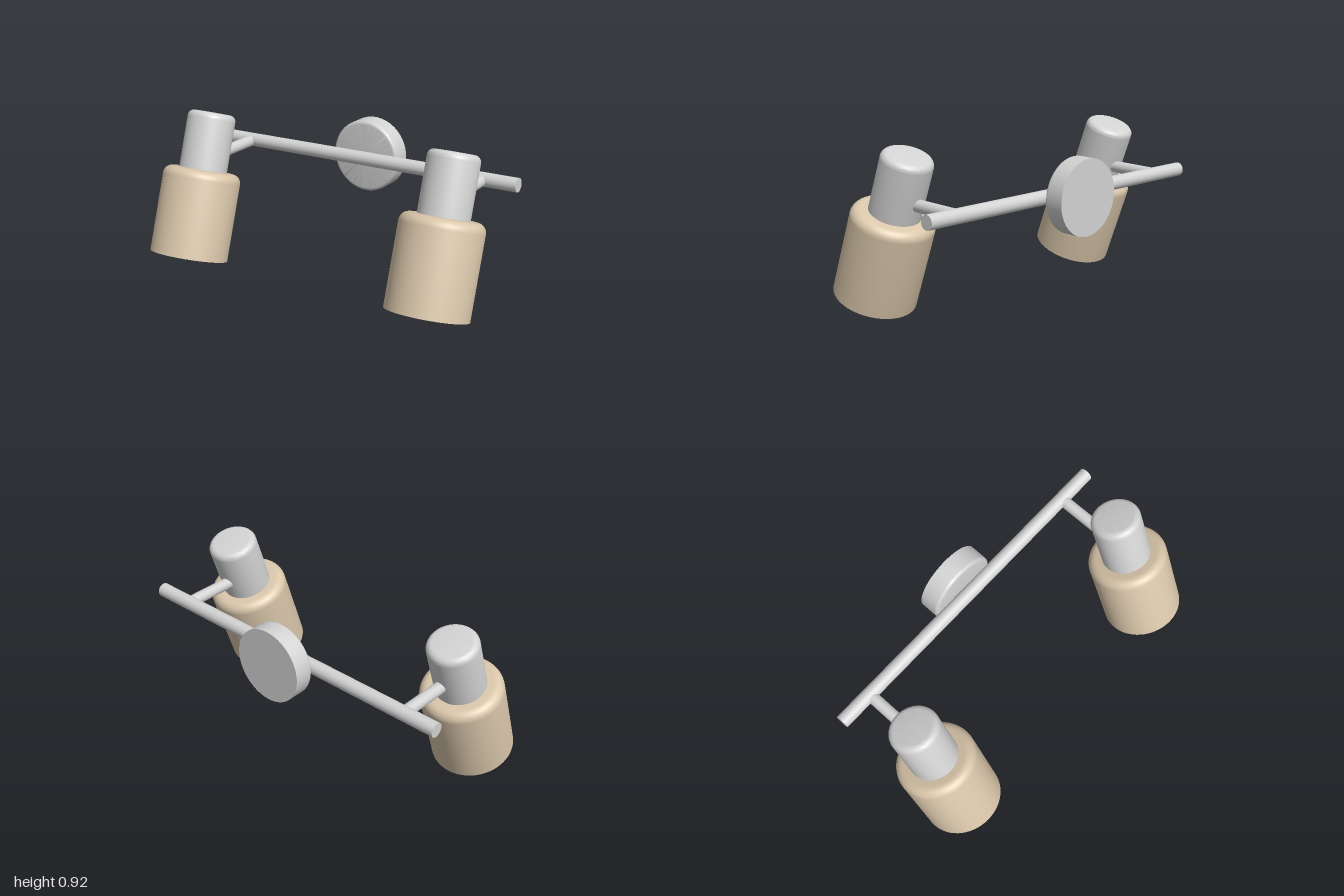
import * as THREE from 'three';
import { toCreasedNormals } from 'three/addons/utils/BufferGeometryUtils.js';

const metal = new THREE.MeshStandardMaterial({ color: 0xd3d3d3 });
metal.name = 'brushed metal grey';
const tan = new THREE.MeshStandardMaterial({ color: 0xdac7ab });
tan.name = 'warm tan';

const TILT = 0.342; // lean of the spots
const ROLL = 0.0196; // slight roll of the whole fitting
const PIVOT_Y = 0.625;

// Quarter-circle profile from the side wall onto the flat top
function roundedCorner(radius, top, r, steps = 8) {
  return Array.from({ length: steps + 1 }, (_, i) => {
    const a = (i / steps) * Math.PI / 2;
    return [radius - r + r * Math.cos(a), top - r + r * Math.sin(a)];
  });
}

function lathe(name, points, material) {
  const profile = points.map(([x, y]) => new THREE.Vector2(Math.max(x, 0), y));
  const geometry = toCreasedNormals(new THREE.LatheGeometry(profile, 64), 0.5);
  const mesh = new THREE.Mesh(geometry, material);
  mesh.name = name;
  return mesh;
}

function rod(name, radius, length, axis) {
  const mesh = new THREE.Mesh(new THREE.CylinderGeometry(radius, radius, length, 32), metal);
  mesh.name = name;
  if (axis === 'x') mesh.rotation.z = Math.PI / 2;
  else mesh.rotation.x = Math.PI / 2;
  return mesh;
}

// One spot, built upright with the shade rim at y = 0
function createSpot(name) {
  const spot = new THREE.Group();
  spot.name = name;

  // Hollow shade: inner wall up, inner top, then the outer shell
  const inner = roundedCorner(0.201, 0.48, 0.035);
  const outer = roundedCorner(0.222, 0.5, 0.052);
  spot.add(lathe('shade', [
    [0, 0.5], ...outer.reverse(), [0.222, 0], [0.201, 0], ...inner, [0, 0.48],
  ].reverse(), tan));

  // Lamp holder above the shade
  spot.add(lathe('lampHolder', [
    [0, 0.46], [0.137, 0.46], ...roundedCorner(0.137, 0.83, 0.036), [0, 0.83],
  ], metal));

  // Bulb with a tapered neck
  const bulb = [];
  for (let i = 0; i <= 18; i++) {
    const a = -Math.PI / 2 + (i / 18) * Math.PI * 0.75;
    bulb.push([0.11 * Math.cos(a), 0.146 + 0.11 * Math.sin(a)]);
  }
  spot.add(lathe('bulb', [...bulb, [0.055, 0.3], [0.05, 0.48]], metal));
  return spot;
}

export function createModel() {
  const model = new THREE.Group();
  model.name = 'twinSpotlight';
  const fitting = new THREE.Group();
  fitting.name = 'fitting';
  fitting.position.y = PIVOT_Y;
  fitting.rotation.z = ROLL;
  model.add(fitting);

  // Round wall plate, its softened edge facing forward
  const plate = lathe('wallPlate', [
    [0, 0], [0.206, 0], ...roundedCorner(0.206, 0.115, 0.018), [0, 0.115],
  ], metal);
  plate.rotation.x = Math.PI / 2;
  plate.position.set(-0.006, 0, -0.498);
  fitting.add(plate);

  // Crossbar
  const bar = rod('crossbar', 0.039, 1.935, 'x');
  bar.position.set(-0.006, 0.001, -0.343);
  fitting.add(bar);

  // Arms and spots
  for (const [side, sign] of [['left', 1], ['right', -1]]) {
    const arm = rod(side + 'Arm', 0.033, 0.34, 'z');
    arm.position.set(-0.008 + sign * 0.762, -0.002, -0.16);
    fitting.add(arm);

    const spot = createSpot(side + 'Spot');
    spot.position.set(-0.006 + sign * 0.774, 0.09 - PIVOT_Y, 0.29);
    spot.rotation.x = -TILT;
    fitting.add(spot);
  }
  return model;
}
